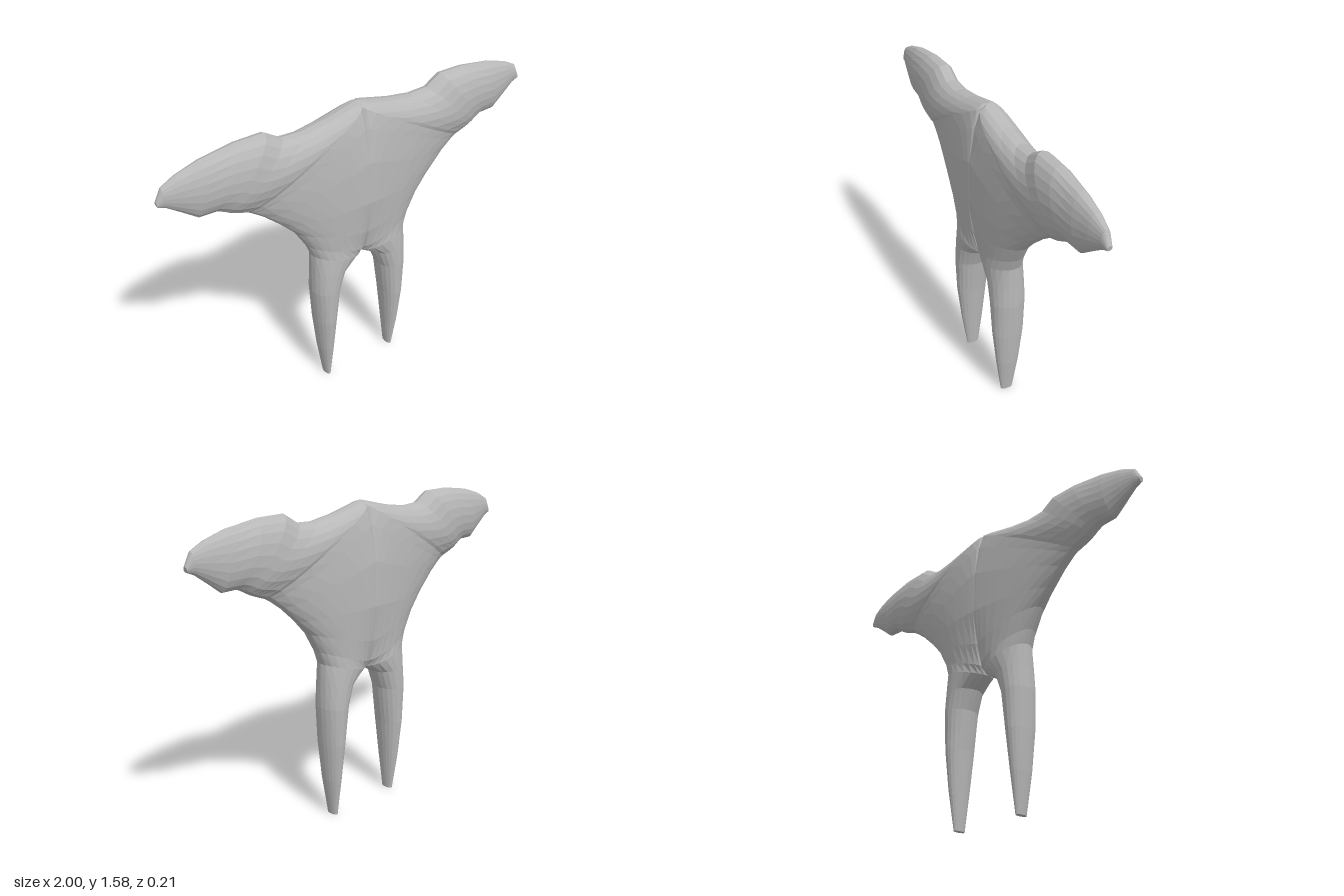
import * as THREE from 'three';

// Sections of the left half: [inner x, inner y, outer x, outer y]
const LEG = [
  [0.19, 0, 0.22, 0],
  [0.172, 0.2, 0.247, 0.2],
  [0.153, 0.4, 0.265, 0.4],
  [0.125, 0.6, 0.277, 0.6],
  [0.085, 0.7, 0.275, 0.71],
  [0, 0.75, 0.274, 0.83],
];
const TORSO = [
  LEG[LEG.length - 1],
  [0, 0.79, 0.302, 0.9],
  [0, 0.9, 0.36, 1.0],
  [0, 1.08, 0.43, 1.075],
  [0, 1.3, 0.515, 1.155],
  [0, 1.47, 0.575, 1.2],
  [0, 1.56, 0.6, 1.215],
  [0, 1.582, 0.62, 1.222],
];
const ARM = [
  TORSO[TORSO.length - 1],
  [0.17, 1.54, 0.66, 1.238],
  [0.3, 1.52, 0.68, 1.247],
  [0.4, 1.525, 0.7, 1.258],
  [0.48, 1.575, 0.72, 1.27],
  [0.62, 1.575, 0.75, 1.285],
  [0.79, 1.552, 0.83, 1.285],
  [0.9, 1.52, 0.9, 1.34],
  [0.97, 1.485, 0.96, 1.385],
  [1.0, 1.425, 0.995, 1.4],
];
const N = 10; // steps across each section

// Point on a section: j steps from inner to outer edge, face +1 front, -1 back
function sectionPoint([ax, ay, bx, by], j, face, side) {
  // Legs and arms thin towards their tips, the chest swells at the centre line
  const legDepth = 0.033 + 0.057 * Math.sin(Math.min((ay + by) / 1.2, 1) * Math.PI / 2);
  const armDepth = 0.012 + 0.078 * (1 - ((ax + bx) / 2) ** 4);
  const chest = ax === 0 ? Math.sin(Math.PI * THREE.MathUtils.clamp((ay - 0.75) / 0.832, 0, 1)) : 0;
  const depth = Math.min(legDepth, armDepth) + 0.02 * chest;

  // Limbs are closed ovals, chest sections are half ovals open at x = 0
  const t = (1 - Math.cos((Math.PI * j) / N)) / 2;
  const closed = Math.sqrt(Math.max(0, 1 - (2 * t - 1) ** 2));
  const half = Math.sqrt(Math.max(0, 1 - t * t));
  const z = depth * THREE.MathUtils.lerp(closed, half, Math.max(0, chest) ** 0.35);
  return [side * (ax + (bx - ax) * t), ay + (by - ay) * t, face * z - 0.003];
}

// Skin over the sections on one side of the body; cap names the tip section
function skin(sections, side, cap) {
  const pos = [];
  const tri = (a, b, c) => {
    const [p, q, r] = [a, b, c].map((v) => new THREE.Vector3(...v));
    if (q.sub(p).cross(r.sub(p)).length() < 1e-8) return;
    pos.push(...a, ...(side > 0 ? [...b, ...c] : [...c, ...b]));
  };
  const quad = (a, b, c, d) => { tri(a, b, c); tri(a, c, d); };
  const at = (i, j, face) => sectionPoint(sections[i], j, face, side);
  const last = sections.length - 1;
  for (let j = 0; j < N; j++) {
    for (let i = 0; i < last; i++) {
      quad(at(i, j, 1), at(i, j + 1, 1), at(i + 1, j + 1, 1), at(i + 1, j, 1));
      quad(at(i, j, -1), at(i + 1, j, -1), at(i + 1, j + 1, -1), at(i, j + 1, -1));
    }
    if (cap === 'first') quad(at(0, j, 1), at(0, j, -1), at(0, j + 1, -1), at(0, j + 1, 1));
    if (cap === 'last') quad(at(last, j, 1), at(last, j + 1, 1), at(last, j + 1, -1), at(last, j, -1));
  }
  const geometry = new THREE.BufferGeometry();
  geometry.setAttribute('position', new THREE.Float32BufferAttribute(pos, 3));
  geometry.computeVertexNormals();
  return geometry;
}

export function createModel() {
  const group = new THREE.Group();
  group.name = 'body';
  const grey = new THREE.MeshStandardMaterial({ color: 0xb8b8b8 });
  grey.name = 'grey';
  grey.flatShading = true;

  // Leg, torso half and arm, mirrored
  for (const side of [1, -1]) {
    for (const [part, sections, cap] of [['Leg', LEG, 'first'], ['Torso', TORSO, 'none'], ['Arm', ARM, 'last']]) {
      const mesh = new THREE.Mesh(skin(sections, side, cap), grey);
      mesh.name = (side > 0 ? 'left' : 'right') + part;
      group.add(mesh);
    }
  }
  return group;
}
